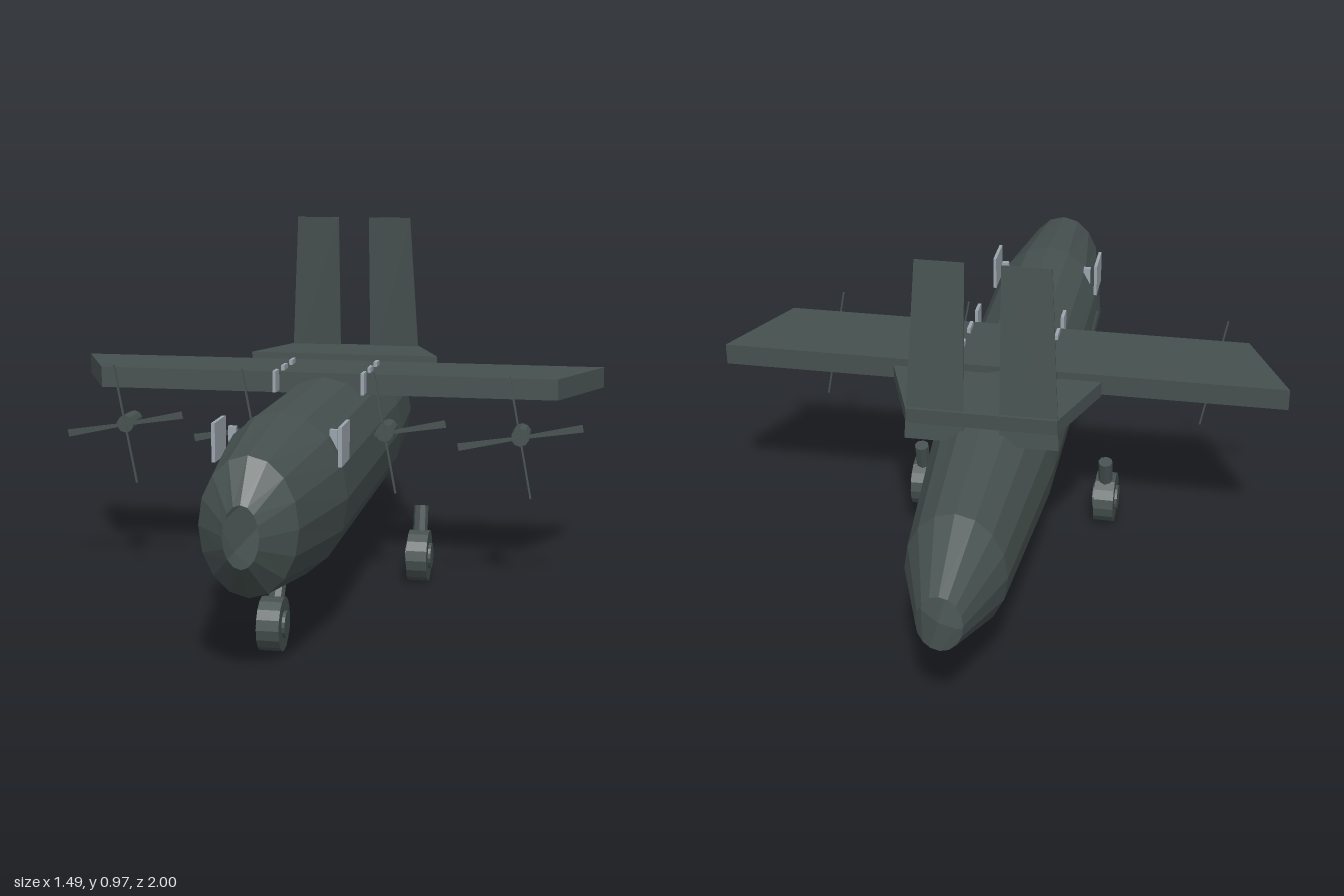
import * as THREE from 'three';

const hull = new THREE.MeshStandardMaterial({ name: 'dark grey green', color: 0x46514f, flatShading: true, side: THREE.DoubleSide });
const glass = new THREE.MeshStandardMaterial({ name: 'pale grey', color: 0x9ca5ae, flatShading: true });

function add(parent, name, geometry, material = hull, x = 0, y = 0, z = 0) {
  const mesh = new THREE.Mesh(geometry, material);
  mesh.name = name;
  mesh.position.set(x, y, z);
  parent.add(mesh);
  return mesh;
}

// Horizontal slab tapering from front half-width to back half-width
function slab(frontHalf, backHalf, frontZ, backZ, bottom, top) {
  const geometry = new THREE.BoxGeometry(1, top - bottom, frontZ - backZ);
  const p = geometry.attributes.position;
  for (let i = 0; i < p.count; i++) {
    p.setX(i, Math.sign(p.getX(i)) * (p.getZ(i) > 0 ? frontHalf : backHalf));
  }
  return geometry.translate(0, (top + bottom) / 2, (frontZ + backZ) / 2);
}

// Open tube through elliptical rings: z, half-width, bottom, top
function fuselage() {
  const rings = [
    [1, 0.042, 0.285, 0.43], [0.925, 0.115, 0.2, 0.525], [0.59, 0.165, 0.152, 0.565],
    [-0.34, 0.163, 0.15, 0.563], [-0.81, 0.125, 0.17, 0.5], [-1, 0.056, 0.25, 0.4],
  ];
  const sides = 16;
  const geometry = new THREE.CylinderGeometry(1, 1, 1, sides, rings.length - 1, true).rotateX(Math.PI / 2);
  const p = geometry.attributes.position;
  for (let i = 0; i < p.count; i++) {
    const [z, rx, low, high] = rings[Math.floor(i / (sides + 1))];
    p.setXYZ(i, p.getX(i) * rx, (low + high) / 2 + p.getY(i) * (high - low) / 2, z);
  }
  return geometry;
}

// Wheel with hubs and a leaning strut
function landingGear(name, radius, strutTop) {
  const gear = new THREE.Group();
  gear.name = name;
  add(gear, 'tyre', new THREE.CylinderGeometry(radius, radius, 0.055, 16).rotateZ(Math.PI / 2));
  add(gear, 'wheelHub', new THREE.CylinderGeometry(radius / 2, radius / 2, 0.07, 16).rotateZ(Math.PI / 2));
  const [y, z] = strutTop;
  const strut = add(gear, 'strut', new THREE.CylinderGeometry(0.02, 0.02, Math.hypot(y, z), 8), hull, 0, y / 2, z / 2);
  strut.rotation.x = Math.atan2(z, y);
  return gear;
}

// Hub with one broad and one narrow pair of blades
function propeller() {
  const prop = new THREE.Group();
  prop.name = 'propeller';
  add(prop, 'engineHub', new THREE.CylinderGeometry(0.024, 0.024, 0.085, 10).rotateX(Math.PI / 2), hull, 0, 0, 0.07);
  const blades = new THREE.Group();
  blades.name = 'blades';
  blades.position.z = 0.112;
  blades.rotation.z = 0.185;
  for (const s of [-1, 1]) {
    const broad = new THREE.Shape([[0, -0.004], [0.166, -0.01], [0.166, 0.01], [0, 0.004]].map(([x, y]) => new THREE.Vector2(x * s, y)));
    add(blades, 'broadBlade', new THREE.ExtrudeGeometry(broad, { depth: 0.004, bevelEnabled: false }));
    add(blades, 'narrowBlade', new THREE.BoxGeometry(0.005, 0.166, 0.006), hull, 0, s * 0.083, 0);
  }
  prop.add(blades);
  return prop;
}

export function createModel() {
  const model = new THREE.Group();
  model.name = 'aircraft';

  add(model, 'fuselage', fuselage());
  add(model, 'wing', slab(0.632, 0.747, 0.03, -0.218, 0.518, 0.575));
  add(model, 'tailplane', slab(0.272, 0.19, -0.275, -0.492, 0.545, 0.585));

  // Twin fins: thin upright plates leaning forward
  for (const s of [-1, 1]) {
    const outline = new THREE.Shape([[0.045, 0], [0.195, 0], [0.168, 0.472], [0.045, 0.472]].map(([x, y]) => new THREE.Vector2(x * s, y)));
    const fin = add(model, s > 0 ? 'leftFin' : 'rightFin',
      new THREE.ExtrudeGeometry(outline, { depth: 0.004, bevelEnabled: false }), hull, 0, 0.5, -0.491);
    fin.rotation.x = 0.093;
  }

  // Four propellers
  for (const x of [-0.54, -0.18, 0.18, 0.54]) {
    const prop = propeller();
    prop.position.set(x, 0.43, 0);
    model.add(prop);
  }

  // Landing gear
  for (const s of [-1, 1]) {
    const gear = landingGear(s > 0 ? 'leftGear' : 'rightGear', 0.07, [0.133, -0.033]);
    gear.position.set(s * 0.262, 0.07, 0);
    model.add(gear);
  }
  const noseGear = landingGear('noseGear', 0.065, [0.1, -0.07]);
  noseGear.position.set(0, 0.067, 0.68);
  model.add(noseGear);

  // Side windows with their brackets, and small roof windows
  for (const s of [-1, 1]) {
    add(model, 'sideWindow', new THREE.BoxGeometry(0.009, 0.096, 0.108), glass, s * 0.154, 0.492, 0.583);
    add(model, 'windowBracket', new THREE.BoxGeometry(0.02, 0.05, 0.014), glass, s * 0.125, 0.495, 0.557);
    for (const z of [0.094, -0.018, -0.125]) {
      add(model, 'roofWindow', new THREE.BoxGeometry(0.009, 0.058, 0.046), glass, s * 0.12, 0.56, z);
    }
  }
  return model;
}
